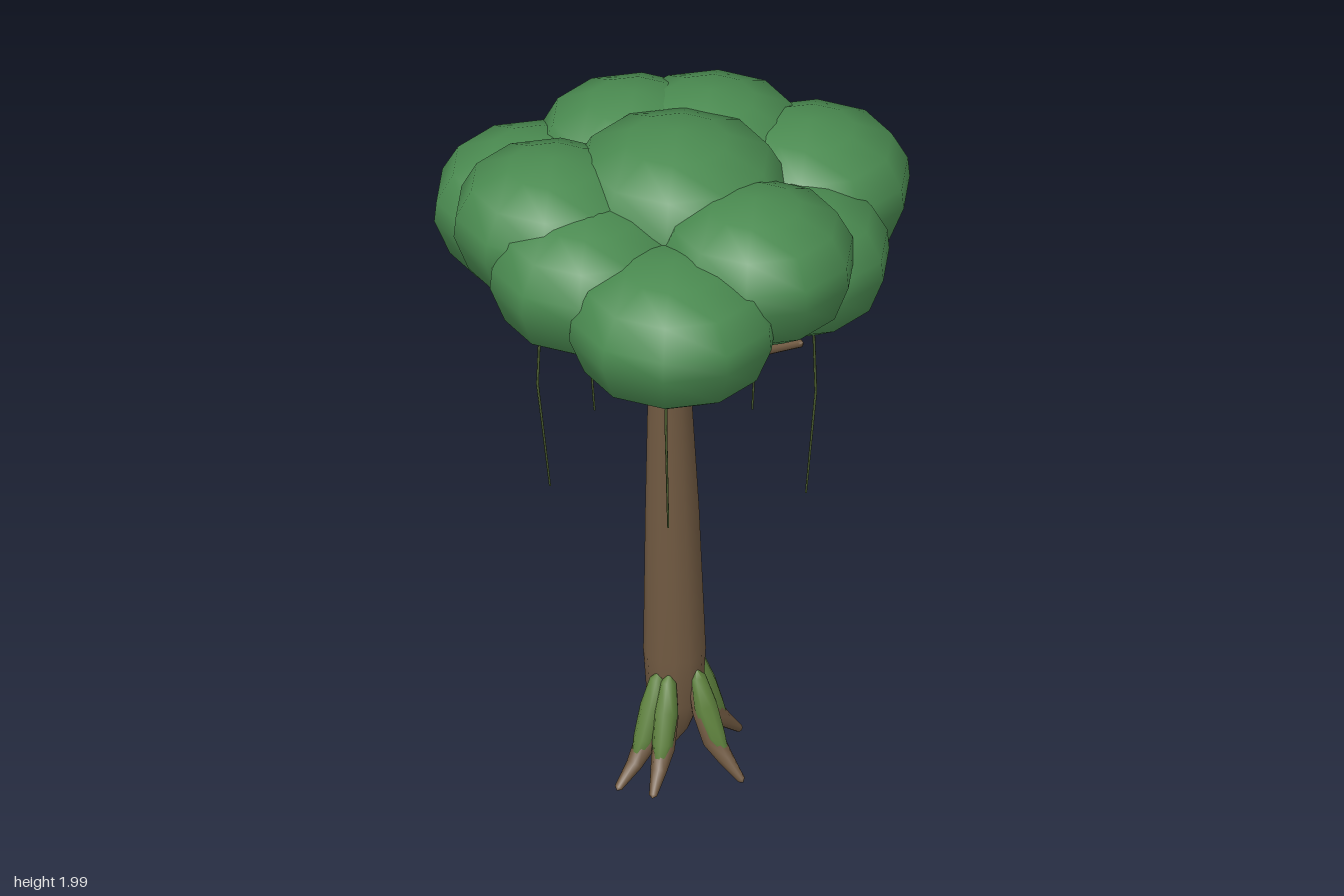
import * as THREE from 'three';
import { mergeVertices } from 'three/addons/utils/BufferGeometryUtils.js';

const flat = (name, color) => {
  const m = new THREE.MeshStandardMaterial({ color });
  m.name = name;
  return m;
};

// Tapered limb: one ring of vertices round each [x, y, z, radius] point
function limb(points, sides) {
  const at = points.map(p => new THREE.Vector3(p[0], p[1], p[2]));
  const ref = new THREE.Vector3(0, 0, 1);
  const pos = [], index = [];
  points.forEach((p, i) => {
    const t = at[Math.min(i + 1, at.length - 1)].clone().sub(at[Math.max(i - 1, 0)]).normalize();
    const u = ref.clone().cross(t).normalize();
    const v = t.clone().cross(u);
    for (let k = 0; k < sides; k++) {
      const a = k / sides * Math.PI * 2;
      const q = at[i].clone().addScaledVector(u, p[3] * Math.cos(a)).addScaledVector(v, p[3] * Math.sin(a));
      pos.push(q.x, q.y, q.z);
      if (i < points.length - 1) {
        const a0 = i * sides + k, b0 = i * sides + (k + 1) % sides;
        index.push(a0, b0, a0 + sides, b0, b0 + sides, a0 + sides);
      }
    }
  });
  const g = new THREE.BufferGeometry();
  g.setAttribute('position', new THREE.Float32BufferAttribute(pos, 3));
  g.setIndex(index);
  g.computeVertexNormals();
  return g;
}

// Flattened ten-sided ball with square shoulders and smooth normals
function leafBall(rx, ry) {
  const profile = [[0, -1], [0.5, -0.87], [0.85, -0.57], [1, -0.05], [0.98, 0.24], [0.82, 0.64], [0.45, 0.87], [0, 1]];
  let g = new THREE.LatheGeometry(profile.map(([r, y]) => new THREE.Vector2(r * rx, y * ry)), 10);
  g.deleteAttribute('normal');
  g.deleteAttribute('uv');
  g = mergeVertices(g, 1e-4);
  g.computeVertexNormals();
  return g;
}

export function createModel() {
  const tree = new THREE.Group();
  tree.name = 'tree';
  const bark = flat('bark', 0x705941);
  const leaves = flat('leaves', 0x4a8a50);
  const moss = flat('moss', 0x5f823e);
  const vineGreen = flat('vine', 0x4a5c30);
  const add = (name, geometry, material) => {
    const m = new THREE.Mesh(geometry, material);
    m.name = name;
    tree.add(m);
    return m;
  };

  // Trunk, pointed at both ends
  add('trunk', limb([
    [-0.06, 0.05, -0.005, 0], [-0.056, 0.11, -0.005, 0.04], [-0.053, 0.2, -0.008, 0.076],
    [-0.053, 0.35, -0.01, 0.085], [-0.058, 0.8, -0.014, 0.073], [-0.068, 1.2, -0.012, 0.058],
    [-0.066, 1.42, -0.004, 0.046], [-0.064, 1.49, -0.002, 0.034], [-0.063, 1.53, 0, 0],
  ], 12), bark);

  // Branches: start in the trunk, rise with a slight bend to the tip
  const start = [-0.065, 1.195, -0.01];
  for (const tip of [[-0.485, 1.45, -0.06], [0.12, 1.475, 0.385], [0.24, 1.475, -0.265]]) {
    const mix = (f, lift, r) => [...start.map((s, i) => s + (tip[i] - s) * f + (i === 1 ? lift : 0)), r];
    add('branch', limb([
      mix(-0.04, 0, 0), mix(0.03, 0, 0.03), mix(0.25, 0.012, 0.03),
      mix(0.6, 0.024, 0.021), mix(0.98, 0, 0.011), mix(1, 0, 0),
    ], 8), bark);
  }

  // Roots, each with a moss cover on its upper side
  for (const [tx, tz] of [[-0.282, 0.07], [-0.22, 0.155], [0.035, 0.208], [0.17, -0.033], [0, -0.228]]) {
    const dx = tx + 0.053, dz = tz, len = Math.hypot(dx, dz);
    const at = (d, y, r) => [-0.053 + dx / len * d, y, dz / len * d, r];
    add('root', limb([
      at(0.055, 0.3, 0), at(0.062, 0.27, 0.02), at(0.09, 0.19, 0.032), at(0.125, 0.11, 0.032),
      at(0.17, 0.062, 0.022), at(len - 0.006, 0.016, 0.011), at(len, 0.01, 0),
    ], 8), bark);
    add('rootMoss', limb([
      at(0.066, 0.315, 0), at(0.075, 0.29, 0.022), at(0.098, 0.21, 0.034),
      at(0.132, 0.125, 0.029), at(0.157, 0.088, 0.016), at(0.168, 0.074, 0),
    ], 8), moss);
  }

  // Hanging vines, bowed outward in the middle
  for (const [x, z] of [[-0.44, -0.085], [-0.26, 0.296], [0.19, 0.333], [0.293, -0.153], [-0.11, -0.386]]) {
    add('vine', limb([
      [x * 0.97, 1.6, z * 0.97, 0.004], [x, 1.27, z, 0.004], [x * 0.92, 0.94, z * 0.92, 0.003],
    ], 5), vineGreen);
  }

  // Crown: x, y, z, horizontal radius, vertical radius
  const crown = [
    [-0.05, 1.775, 0, 0.31, 0.225],
    [0.365, 1.7, 0, 0.28, 0.205],
    [-0.372, 1.745, -0.12, 0.275, 0.205],
    [-0.37, 1.68, 0.07, 0.275, 0.205],
    [0.005, 1.73, 0.325, 0.275, 0.21],
    [0.005, 1.725, -0.325, 0.275, 0.21],
    [-0.275, 1.64, 0.36, 0.29, 0.205],
    [-0.275, 1.64, -0.36, 0.29, 0.205],
    [0.18, 1.64, 0.212, 0.276, 0.205],
    [0.18, 1.74, -0.215, 0.276, 0.205],
  ];
  for (const [x, y, z, rx, ry] of crown) add('foliage', leafBall(rx, ry), leaves).position.set(x, y, z);

  return tree;
}
